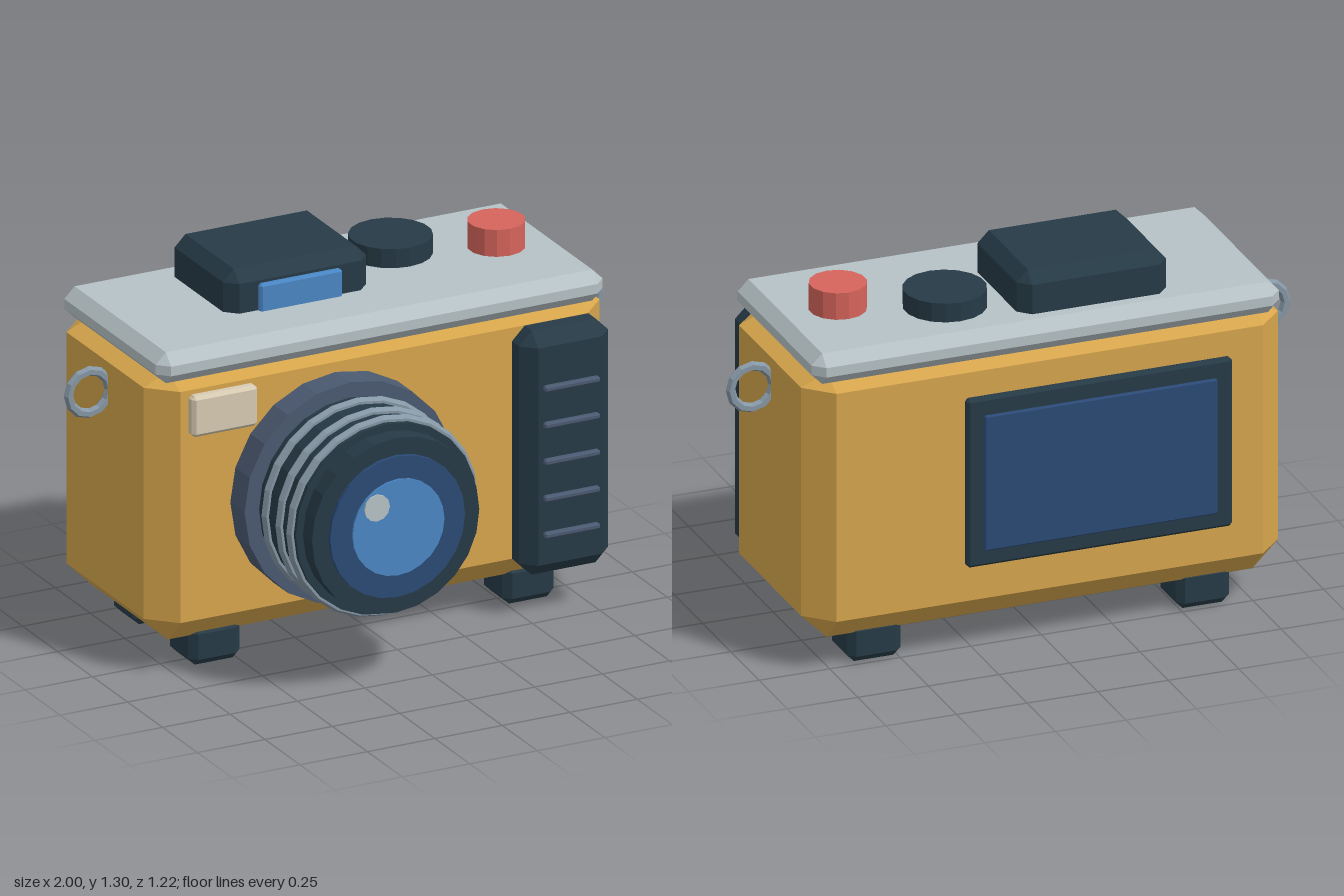
import * as THREE from 'three';
import { ConvexGeometry } from 'three/addons/geometries/ConvexGeometry.js';

const mat = (name, color) => {
  const m = new THREE.MeshStandardMaterial({ color, flatShading: true });
  m.name = name;
  return m;
};

// Box between two corners with bevelled edges: inset c sideways, cb / ct high at bottom / top
function bevelBox([x0, y0, z0], [x1, y1, z1], c, cb = c, ct = c) {
  const pts = [];
  for (const [x, sx] of [[x0, 1], [x1, -1]])
    for (const [y, dy] of [[y0, cb], [y1, -ct]])
      for (const [z, sz] of [[z0, 1], [z1, -1]]) {
        pts.push(new THREE.Vector3(x, y + dy, z + sz * c));
        pts.push(new THREE.Vector3(x + sx * c, y + dy, z));
        pts.push(new THREE.Vector3(x + sx * c, y, z + sz * c));
      }
  return new ConvexGeometry(pts);
}

export function createModel() {
  const camera = new THREE.Group();
  camera.name = 'camera';

  const gold = mat('gold', 0xd6a54c);
  const dark = mat('dark', 0x263a46);
  const silver = mat('silver', 0xb6c2c6);
  const steel = mat('steel', 0x8596a4);
  const slate = mat('slate', 0x4b5a71);
  const navy = mat('navy', 0x2b4a76);
  const blue = mat('blue', 0x4a86c4);
  const red = mat('red', 0xd6645b);
  const cream = mat('cream', 0xd6cab2);

  const add = (name, geometry, material, parent = camera) => {
    const mesh = new THREE.Mesh(geometry, material);
    mesh.name = name;
    parent.add(mesh);
    return mesh;
  };

  // Body and top plate
  add('body', bevelBox([-0.845, 0.11, -0.575], [0.845, 1.06, 0.155], 0.09, 0.09, 0.04), gold);
  add('topPlate', bevelBox([-0.828, 1.045, -0.572], [0.828, 1.155, 0.157], 0.038), silver);

  // Viewfinder hump with its window
  add('viewfinder', bevelBox([-0.46, 1.1, -0.495], [0.07, 1.3, -0.07], 0.04), dark);
  add('viewfinderWindow', bevelBox([-0.35, 1.145, -0.08], [-0.045, 1.25, -0.052], 0.008), blue);

  // Top controls
  const knob = (name, x, z, r, top, sides, material) => {
    const h = top - 1.14;
    add(name, new THREE.CylinderGeometry(r, r, h, sides), material).position.set(x, 1.14 + h / 2, z);
  };
  knob('dial', 0.27, -0.32, 0.14, 1.222, 18, dark);
  knob('shutterButton', 0.605, -0.21, 0.097, 1.25, 14, red);

  // Flash
  add('flash', bevelBox([-0.725, 0.86, 0.145], [-0.482, 1.005, 0.188], 0.012), cream);

  // Hand grip with ribs
  add('grip', bevelBox([0.47, 0.157, 0.115], [0.8, 1.022, 0.26], 0.047), dark);
  for (let i = 0; i < 5; i++) {
    const y = 0.31 + i * 0.13;
    add('gripRib', bevelBox([0.535, y - 0.011, 0.25], [0.74, y + 0.011, 0.277], 0.006), slate);
  }

  // Lens: stacked discs along z
  const lens = new THREE.Group();
  lens.name = 'lens';
  lens.position.set(-0.18, 0.595, 0);
  camera.add(lens);
  const disc = (name, r, z0, z1, material, sides = 20) => {
    const g = new THREE.CylinderGeometry(r, r, z1 - z0, sides).rotateX(Math.PI / 2);
    const mesh = add(name, g, material, lens);
    mesh.position.z = (z0 + z1) / 2;
    return mesh;
  };
  disc('lensMount', 0.39, 0.1, 0.257, slate);
  disc('lensBarrel', 0.336, 0.25, 0.52, dark, 24);
  disc('lensFront', 0.31, 0.5, 0.585, dark, 24);
  disc('outerGlass', 0.25, 0.58, 0.599, navy, 24);
  disc('innerGlass', 0.17, 0.595, 0.606, blue, 24);
  const glint = disc('glint', 0.047, 0.603, 0.612, silver, 12);
  glint.position.x = -0.082;
  glint.position.y = 0.085;
  for (const z of [0.31, 0.41, 0.487])
    add('focusRing', new THREE.TorusGeometry(0.335, 0.02, 6, 24), steel, lens).position.z = z;

  // Rear screen
  add('screenFrame', bevelBox([-0.64, 0.325, -0.598], [0.3, 0.93, -0.56], 0.01), dark);
  add('screen', bevelBox([-0.582, 0.383, -0.609], [0.242, 0.868, -0.585], 0.005), navy);

  // Strap rings and feet, mirrored
  for (const s of [-1, 1]) {
    add('strapRing', new THREE.TorusGeometry(0.075, 0.017, 6, 12), steel).position.set(s * 0.908, 0.92, -0.205);
    for (const z of [-0.005, -0.405])
      add('foot', bevelBox([s * 0.582 - 0.095, 0, z - 0.09], [s * 0.582 + 0.095, 0.14, z + 0.09], 0.025), dark);
  }
  return camera;
}
